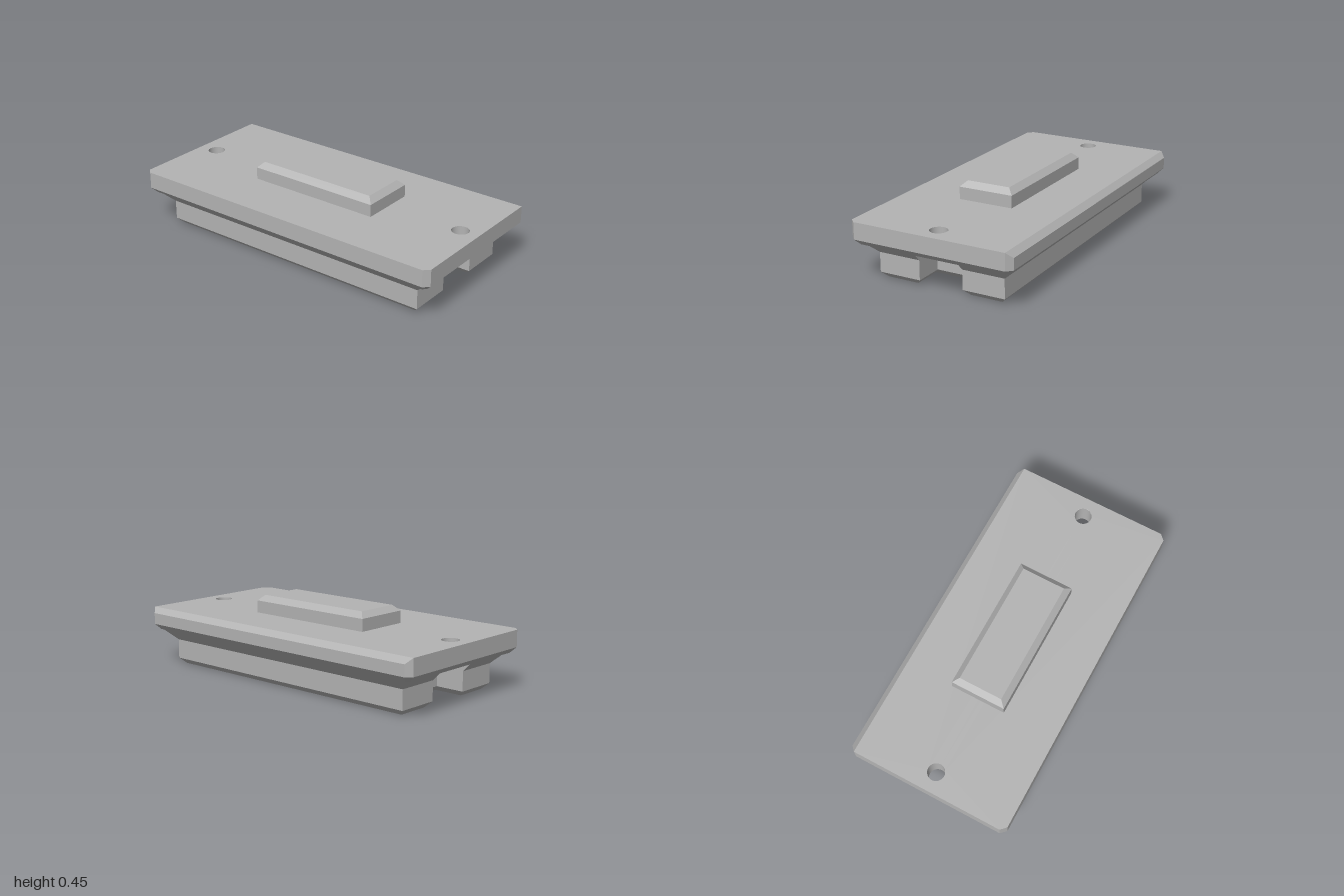
import * as THREE from 'three';

const grey = new THREE.MeshStandardMaterial({ color: 0xb3b3b3, side: THREE.DoubleSide });
grey.name = 'grey';

// Flat-faced walls through [y, ring] levels; rings run counter-clockwise seen from above
function loft(levels) {
  const pos = [];
  for (let l = 0; l < levels.length - 1; l++) {
    const [y0, lo] = levels[l], [y1, up] = levels[l + 1];
    lo.forEach((p, i) => {
      const j = (i + 1) % lo.length;
      const a = [p[0], y0, p[1]], b = [lo[j][0], y0, lo[j][1]];
      const c = [up[j][0], y1, up[j][1]], d = [up[i][0], y1, up[i][1]];
      pos.push(...a, ...b, ...c, ...a, ...c, ...d);
    });
  }
  const g = new THREE.BufferGeometry();
  g.setAttribute('position', new THREE.Float32BufferAttribute(pos, 3));
  g.computeVertexNormals();
  return g;
}

// Horizontal face at height y, facing up (dir 1) or down (dir -1), with round holes [x, radius]
function cap(ring, y, dir, holes = []) {
  const shape = new THREE.Shape(ring.map(([x, z]) => new THREE.Vector2(x, -dir * z)));
  for (const [x, r] of holes) shape.holes.push(new THREE.Path().absarc(x, 0, r, 0, Math.PI * 2, true));
  return new THREE.ShapeGeometry(shape, 32).rotateX(-dir * Math.PI / 2).translate(0, y, 0);
}

const rect = (x, z) => [[x, z], [x, -z], [-x, -z], [-x, z]];

// Rectangle with clipped corners; backZ is where the back edge stops
function clipped(x, z, c, backZ = -z) {
  const bx = x - Math.max(0, -(z - c) - backZ);
  return [[x - c, z], [x, z - c], [x, -(z - c)], [bx, backZ],
    [-bx, backZ], [-x, -(z - c)], [-x, z - c], [-(x - c), z]];
}

// Rectangle with a slot of half width n cut into each end as far as x = d
const slotted = (x, z, n, d) => [
  [x, z], [x, n], [d, n], [d, -n], [x, -n], [x, -z],
  [-x, -z], [-x, -n], [-d, -n], [-d, n], [-x, n], [-x, z]];

export function createModel() {
  const model = new THREE.Group();
  model.name = 'mountingPlate';
  const add = (parent, name, geometry) => {
    const mesh = new THREE.Mesh(geometry, grey);
    mesh.name = name;
    parent.add(mesh);
    return mesh;
  };
  const group = name => {
    const g = new THREE.Group();
    g.name = name;
    model.add(g);
    return g;
  };

  // Cover plate: bevelled below, bevelled along the back top edge
  const plate = group('coverPlate');
  const outline = clipped(1, 0.49, 0.032);
  const under = clipped(0.968, 0.458, 0.02);
  const top = clipped(1, 0.49, 0.032, -0.458);
  const boltHoles = [[-0.885, 0.05], [0.885, 0.05]];
  add(plate, 'plateSides', loft([[0.213, under], [0.246, outline], [0.313, outline], [0.345, top]]));
  // the back corners meet at the bevel, so the top face needs only six points
  add(plate, 'plateTop', cap([top[0], top[1], top[2], top[5], top[6], top[7]], 0.345, 1, boltHoles));
  add(plate, 'plateUnderside', cap(under, 0.213, -1, boltHoles));
  for (const [x, r] of boltHoles) {
    add(plate, 'boltHole', new THREE.CylinderGeometry(r, r, 0.132, 32, 1, true)).position.set(x, 0.279, 0);
  }

  // Raised block on top
  const block = group('raisedBlock');
  const blockTop = rect(0.376, 0.131);
  add(block, 'blockSides', loft([[0.345, rect(0.41, 0.165)], [0.417, rect(0.41, 0.165)], [0.45, blockTop]]));
  add(block, 'blockTop', cap(blockTop, 0.45, 1));

  // Lower body with an end slot on each side and a flared neck
  const body = group('lowerBody');
  const foot = slotted(0.842, 0.352, 0.165, 0.667);
  const wall = slotted(0.875, 0.385, 0.133, 0.7);
  const neck = slotted(0.94, 0.45, 0.133, 0.7);
  const screwX = [-0.175, 0.175];
  add(body, 'bodySides', loft([[0, foot], [0.033, wall], [0.148, wall], [0.213, neck]]));
  add(body, 'bodyUnderside', cap(foot, 0, -1, screwX.map(x => [x, 0.083])));

  // Countersunk blind screw holes
  for (const x of screwX) {
    const hole = new THREE.Group();
    hole.name = 'screwHole';
    hole.position.x = x;
    body.add(hole);
    add(hole, 'countersink', new THREE.CylinderGeometry(0.05, 0.083, 0.034, 32, 1, true)).position.y = 0.017;
    add(hole, 'bore', new THREE.CylinderGeometry(0.05, 0.05, 0.236, 32, 1, true)).position.y = 0.152;
    add(hole, 'boreEnd', new THREE.CircleGeometry(0.05, 32).rotateX(Math.PI / 2)).position.y = 0.27;
  }
  return model;
}
